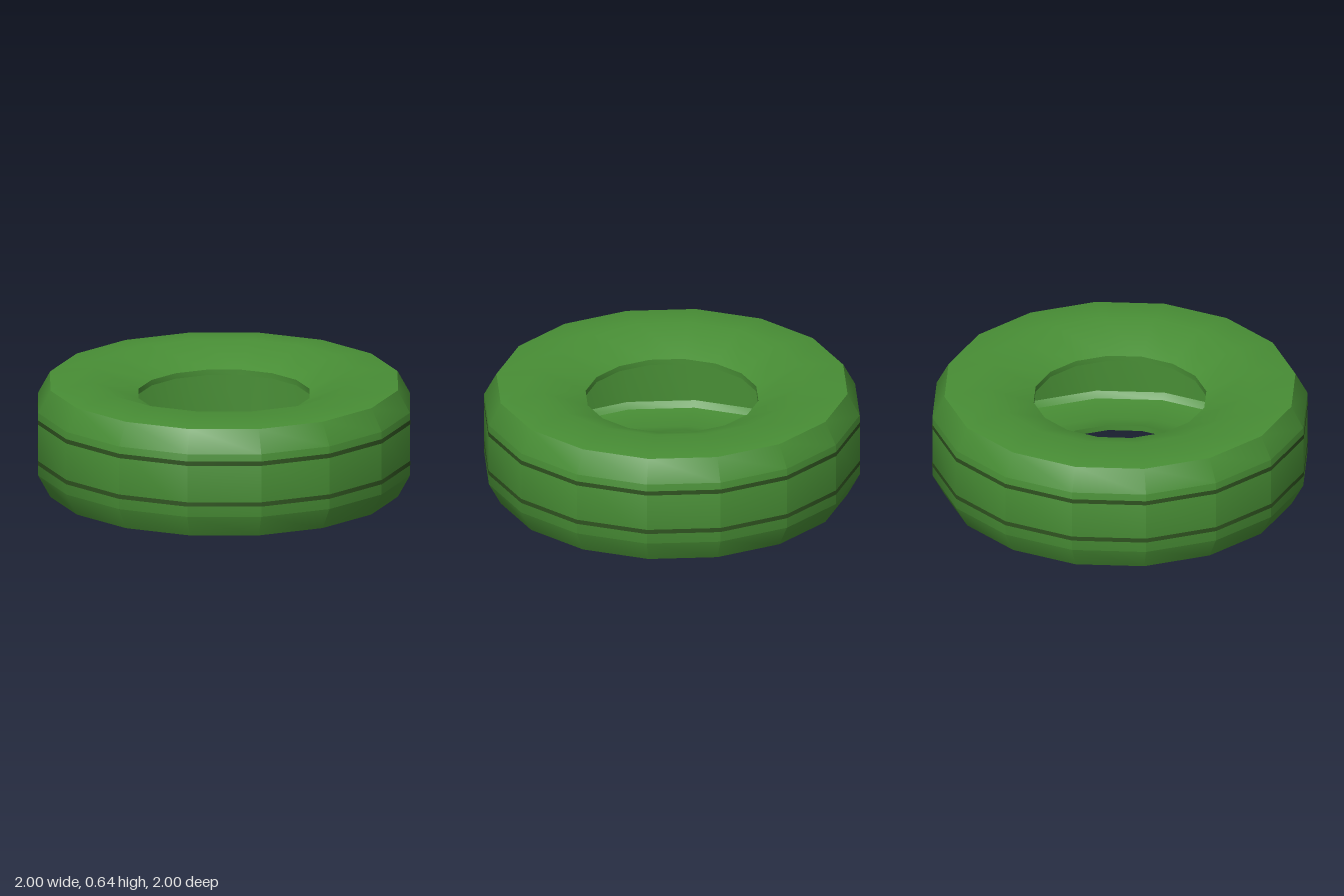
import * as THREE from 'three';
import { toCreasedNormals } from 'three/addons/utils/BufferGeometryUtils.js';

export function createModel() {
  const group = new THREE.Group();
  group.name = 'tyre';

  const makeMaterial = (name, color) => {
    const material = new THREE.MeshStandardMaterial({ color });
    material.name = name;
    return material;
  };
  const rubber = makeMaterial('green rubber', 0x488e35);
  const darkRubber = makeMaterial('dark green rubber', 0x2f5320);

  const midY = 0.322, sides = 16;

  // Upper half of the outside, from the tread over the shoulder and bulge to the bead
  const wall = [[1, 0.494], [0.935, 0.614], [0.7, 0.644], [0.46, 0.545]];
  // Upper half of the hollow inside, from the bead to a chamfer and the tread's inner face
  const hollow = [[0.46, 0.515], [0.7, 0.605], [0.89, 0.585], [0.92, 0.555]];

  const mirror = (points) => points.map(([r, y]) => [r, 2 * midY - y]).reverse();

  // Closed cross-section, counter-clockwise from the lower bead
  const profile = [...mirror(wall), ...wall, ...hollow, ...mirror(hollow)];
  profile.push(profile[0]);

  const lathe = new THREE.LatheGeometry(
    profile.map(([r, y]) => new THREE.Vector2(r, y)), sides);
  const casing = new THREE.Mesh(toCreasedNormals(lathe, THREE.MathUtils.degToRad(35)), rubber);
  casing.name = 'tyreCasing';
  group.add(casing);

  // Two thin dark lines around the tread
  const stripe = new THREE.CylinderGeometry(1.002, 1.002, 0.024, sides, 1, true);
  for (const [name, y] of [['lowerTreadStripe', 0.219], ['upperTreadStripe', 0.443]]) {
    const mesh = new THREE.Mesh(stripe, darkRubber);
    mesh.name = name;
    mesh.position.y = y;
    group.add(mesh);
  }

  return group;
}
